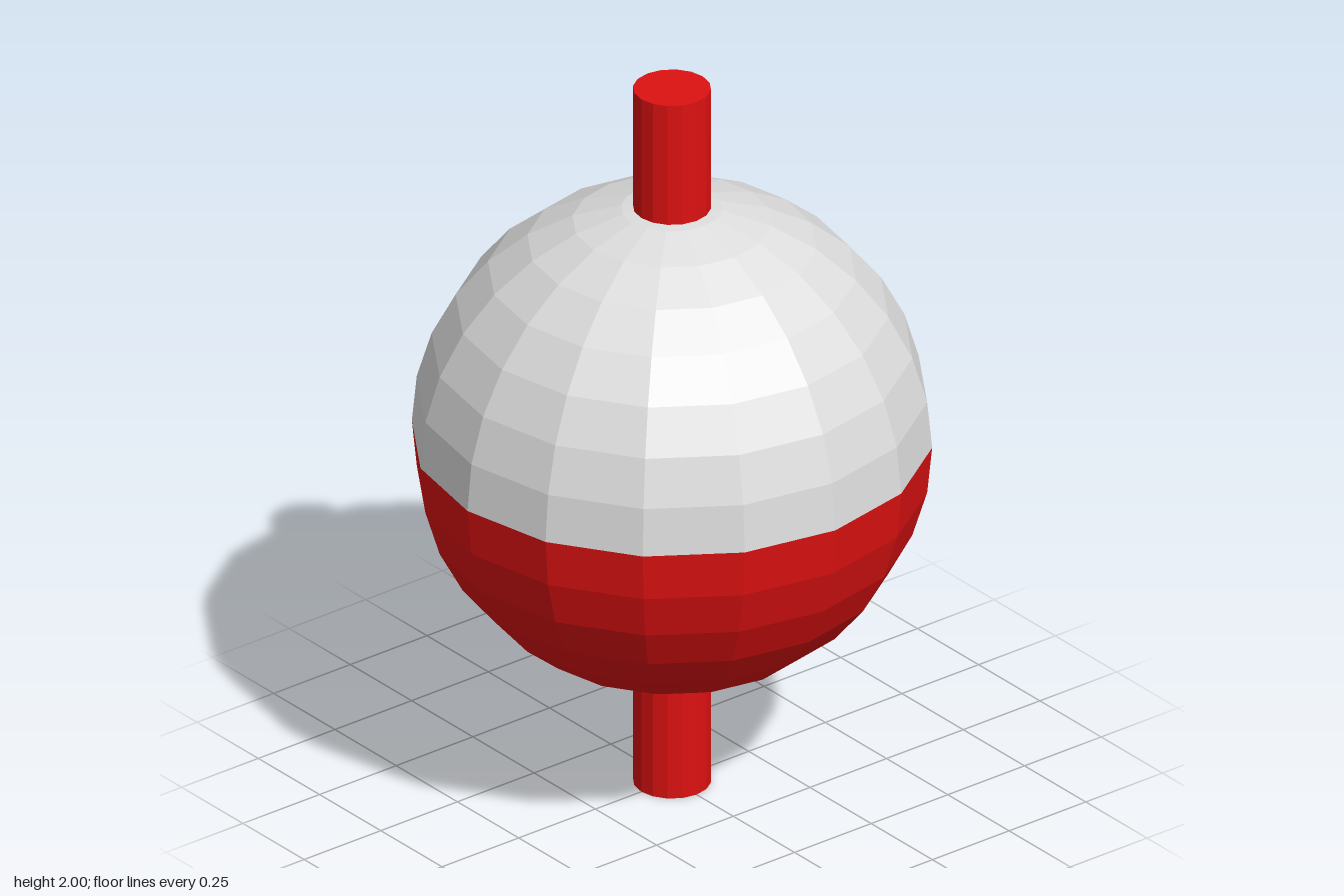
import * as THREE from 'three';

export function createModel() {
  const red = new THREE.MeshStandardMaterial({ color: 0xdd1111, flatShading: true });
  red.name = 'red';
  const white = new THREE.MeshStandardMaterial({ color: 0xdddddd, flatShading: true });
  white.name = 'white';

  const group = new THREE.Group();
  group.name = 'fishingFloat';
  const add = (name, geometry, material, y) => {
    const mesh = new THREE.Mesh(geometry, material);
    mesh.name = name;
    mesh.position.y = y;
    group.add(mesh);
  };

  // Faceted ball in two halves
  const radius = 0.667;
  const half = (start) =>
    new THREE.SphereGeometry(radius, 16, 8, 0, Math.PI * 2, start, Math.PI / 2);
  add('upperHalf', half(0), white, 1);
  add('lowerHalf', half(Math.PI / 2), red, 1);

  // Stem running through the ball
  add('stem', new THREE.CylinderGeometry(0.1, 0.1, 2, 16), red, 1);

  return group;
}
